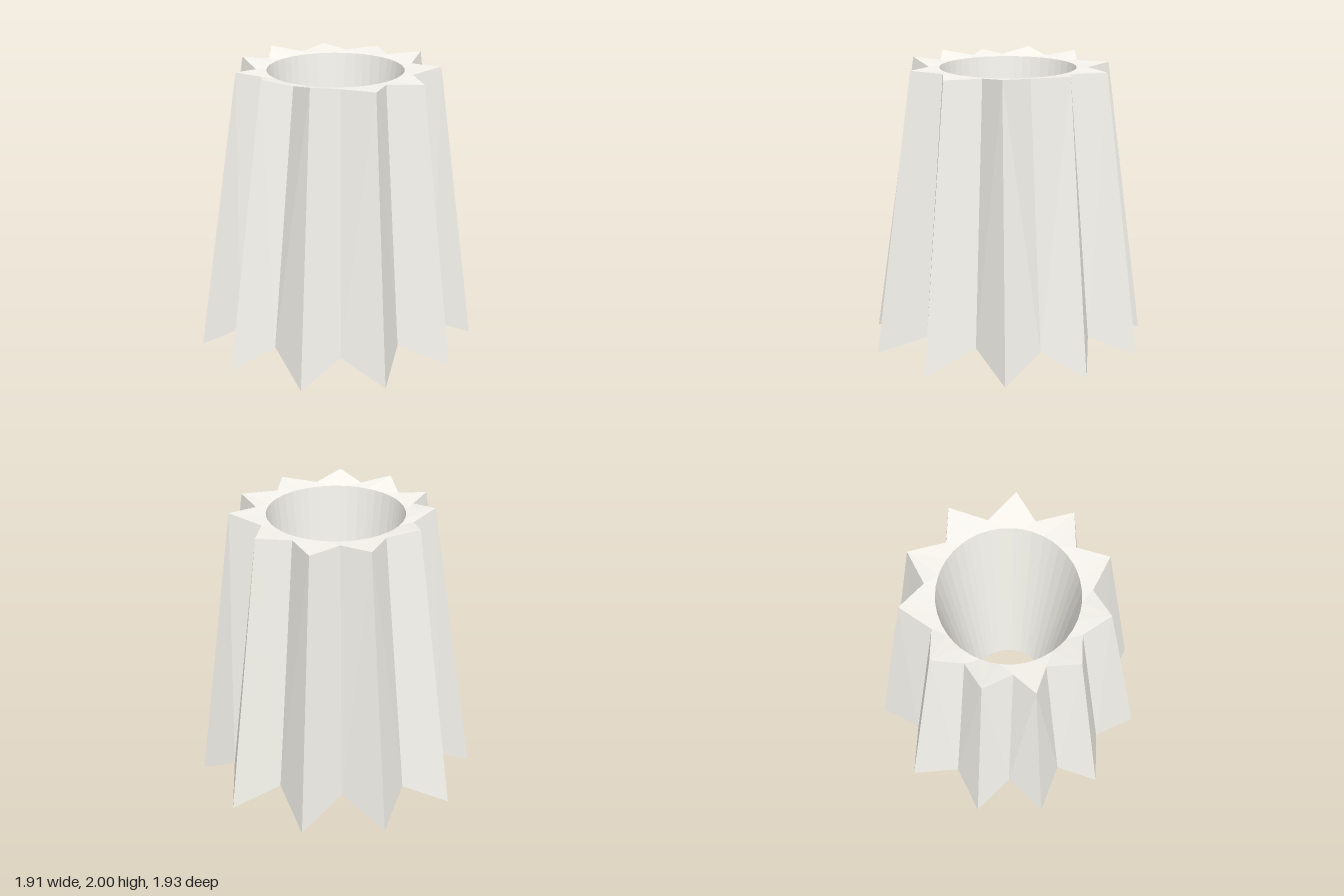
import * as THREE from 'three';

// Half of the star outline, alternating valley and tip: [x, y, z]
const LOWER = [
  [0.82, 0.17, 0], [0.952, 0, 0.28], [0.637, 0.17, 0.395], [0.637, 0, 0.75],
  [0.293, 0.15, 0.655], [0.117, 0, 0.967], [-0.133, 0.15, 0.745], [-0.437, 0, 0.86],
  [-0.54, 0.18, 0.535], [-0.833, 0, 0.46], [-0.71, 0.18, 0.187], [-0.955, 0, 0],
];
const UPPER = [
  [0.56, 1.96, 0], [0.70, 1.985, 0.228], [0.474, 1.96, 0.30], [0.474, 1.96, 0.56],
  [0.23, 1.96, 0.505], [0.107, 1.97, 0.70], [-0.085, 1.96, 0.53], [-0.30, 2, 0.592],
  [-0.362, 1.96, 0.385], [-0.562, 2, 0.323], [-0.51, 1.96, 0.107], [-0.67, 1.975, 0],
];
const CENTRE_X = 0.02;

// Mirror the half outline across z
function starLoop(half) {
  const back = half.slice(1, -1).reverse().map(([x, y, z]) => [x, y, -z]);
  return [...half, ...back].map((p) => new THREE.Vector3(...p));
}

function withMidpoints(loop) {
  return loop.flatMap((p, i) => [p, p.clone().lerp(loop[(i + 1) % loop.length], 0.5)]);
}

// Circle whose points line up with the angles of a guide loop
function ringLoop(radius, y, guide) {
  return guide.map((p) => {
    const a = Math.atan2(p.z, p.x - CENTRE_X);
    return new THREE.Vector3(CENTRE_X + radius * Math.cos(a), y, radius * Math.sin(a));
  });
}

// Skin between two loops with equal point counts; diagonals alternate so
// that both flanks of every flute are split symmetrically
function skin(name, from, to, material) {
  const tris = [];
  from.forEach((a, i) => {
    const j = (i + 1) % from.length;
    if (i % 2 === 0) tris.push(a, to[i], to[j], a, to[j], from[j]);
    else tris.push(a, to[i], from[j], to[i], to[j], from[j]);
  });
  const geometry = new THREE.BufferGeometry().setFromPoints(tris);
  geometry.computeVertexNormals();
  const mesh = new THREE.Mesh(geometry, material);
  mesh.name = name;
  return mesh;
}

export function createModel() {
  const group = new THREE.Group();
  group.name = 'flutedHolder';
  const material = new THREE.MeshStandardMaterial({
    color: 0xf5f3ec, flatShading: true, side: THREE.DoubleSide,
  });

  const lowerRim = starLoop(LOWER);
  const upperRim = starLoop(UPPER);
  const topEdge = withMidpoints(upperRim);
  const boreTop = ringLoop(0.47, 1.953, topEdge);
  const boreBottom = ringLoop(0.273, 0.18, topEdge);
  // eleven-sided opening where the hollow underside meets the bore
  const valleys = lowerRim.filter((_, i) => i % 2 === 0);
  const collarTop = withMidpoints(ringLoop(0.325, 0.53, valleys));

  group.add(
    skin('flutedWall', lowerRim, upperRim, material),
    skin('topFace', topEdge, boreTop, material),
    skin('taperedBore', boreTop, boreBottom, material),
    // short sleeve of the bore that hangs below the hollow underside
    skin('lowerCollar', boreBottom, withMidpoints(collarTop), material),
    skin('hollowUnderside', collarTop, lowerRim, material),
  );
  return group;
}
